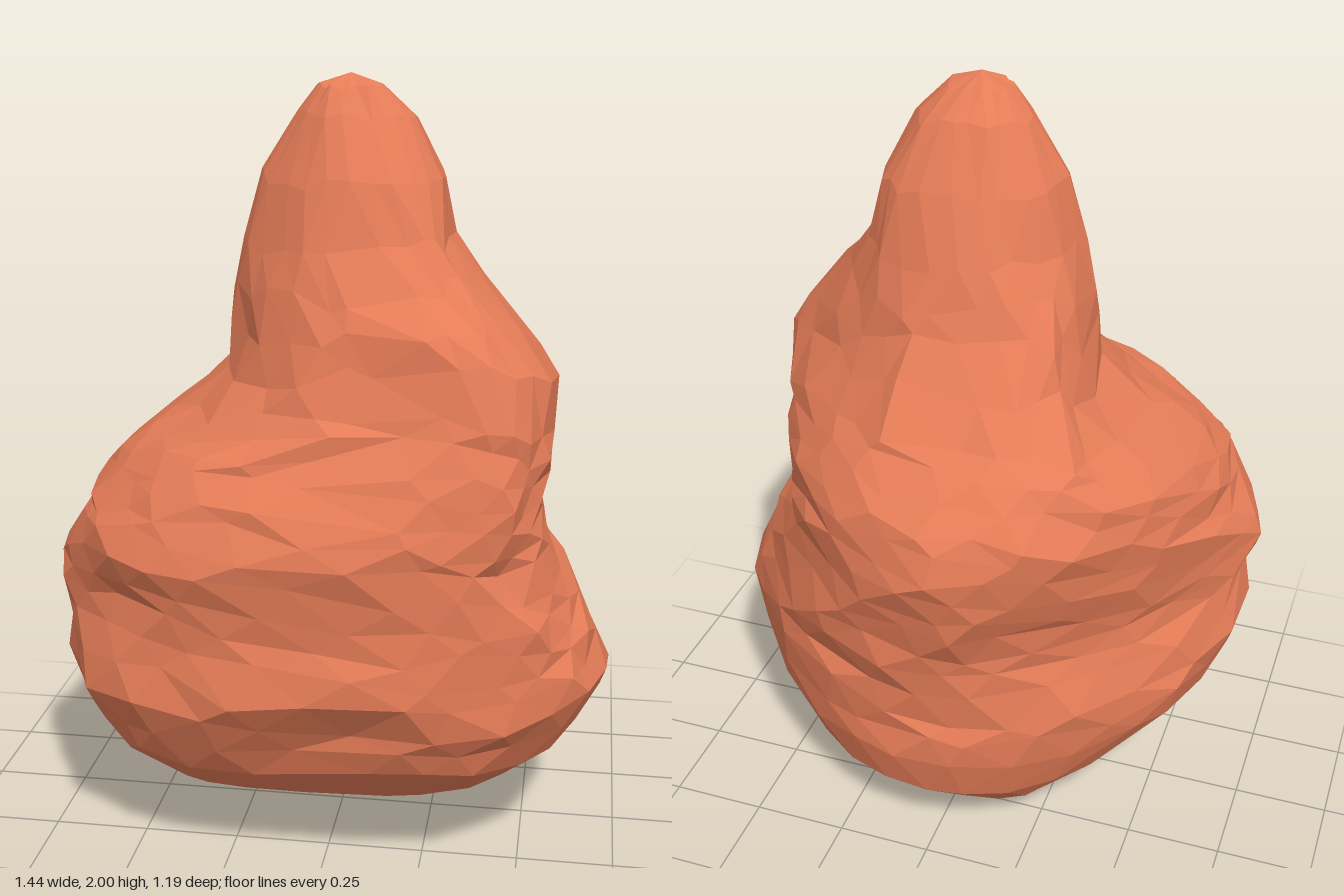
import * as THREE from 'three';

// Each row: y, then right edge, left edge, front edge, back edge, z of the widest point
const SECTIONS = [
  [0.01, -0.03, 0.03, 0.0, -0.1, -0.05],
  [0.05, -0.19, 0.16, 0.06, -0.27, -0.07],
  [0.11, -0.3, 0.32, 0.17, -0.38, -0.03],
  [0.2, -0.46, 0.5, 0.35, -0.48, 0.02],
  [0.33, -0.62, 0.61, 0.49, -0.51, 0.08],
  [0.5, -0.7, 0.72, 0.59, -0.5, 0.14],
  [0.65, -0.68, 0.67, 0.57, -0.53, 0.18],
  [0.77, -0.72, 0.59, 0.56, -0.55, 0.19],
  [0.9, -0.65, 0.54, 0.58, -0.585, 0.15],
  [1.0, -0.6, 0.53, 0.55, -0.585, 0.09],
  [1.1, -0.52, 0.545, 0.51, -0.54, 0.04],
  [1.2, -0.34, 0.55, 0.49, -0.43, 0.04],
  [1.31, -0.28, 0.55, 0.44, -0.33, 0.05],
  [1.4, -0.27, 0.46, 0.42, -0.28, 0.07],
  [1.5, -0.25, 0.37, 0.33, -0.23, 0.06],
  [1.6, -0.235, 0.29, 0.27, -0.205, 0.05],
  [1.75, -0.2, 0.265, 0.24, -0.145, 0.05],
  [1.9, -0.11, 0.185, 0.16, -0.08, 0.05],
  [1.97, -0.05, 0.11, 0.11, 0.0, 0.06],
];

// Reach along the diagonals for the same rows: front left, front right, back left, back right
const DIAGONALS = [
  [0.005, 0.005, 0.075, 0.075],
  [0.11, 0.13, 0.27, 0.28],
  [0.27, 0.3, 0.4, 0.39],
  [0.44, 0.48, 0.49, 0.46],
  [0.6, 0.63, 0.55, 0.51],
  [0.69, 0.7, 0.575, 0.53],
  [0.68, 0.68, 0.56, 0.48],
  [0.66, 0.68, 0.55, 0.5],
  [0.645, 0.69, 0.52, 0.53],
  [0.65, 0.64, 0.52, 0.55],
  [0.665, 0.54, 0.5, 0.53],
  [0.66, 0.36, 0.43, 0.46],
  [0.62, 0.31, 0.36, 0.36],
  [0.56, 0.28, 0.32, 0.31],
  [0.45, 0.26, 0.285, 0.25],
  [0.35, 0.24, 0.26, 0.2],
  [0.28, 0.2, 0.22, 0.15],
  [0.19, 0.135, 0.135, 0.077],
  [0.13, 0.086, 0.05, 0.007],
];

// Hollows: angle (0 = left, 90 = front), y, angular spread, height spread, depth
const DENTS = [
  [85, 0.43, 14, 0.09, -0.05],
  [95, 1.25, 14, 0.13, -0.05],
  [45, 0.86, 20, 0.06, -0.03],
  [140, 0.73, 15, 0.05, -0.03],
];

function seeded(seed) {
  return () => {
    seed = (seed * 16807) % 2147483647;
    return (seed / 2147483647) * 2 - 1;
  };
}

function sectionAt(y) {
  let i = 0;
  while (i < SECTIONS.length - 2 && SECTIONS[i + 1][0] < y) i++;
  const t = THREE.MathUtils.clamp((y - SECTIONS[i][0]) / (SECTIONS[i + 1][0] - SECTIONS[i][0]), 0, 1);
  const blend = (rows) => rows[i].map((v, k) => THREE.MathUtils.lerp(v, rows[i + 1][k], t));
  return { edges: blend(SECTIONS), diagonals: blend(DIAGONALS) };
}

// Point on the surface at a given height and angle
function surfacePoint(y, angle) {
  const { edges, diagonals } = sectionAt(y);
  const [, right, left, front, back, zMid] = edges;
  const c = Math.cos(angle), s = Math.sin(angle);
  const sx = c < 0 ? -1 : 1, sz = s < 0 ? -1 : 1;
  const cx = (right + left) / 2, hx = (left - right) / 2;
  const hz = sz > 0 ? front - zMid : zMid - back;
  // Each quarter is a superellipse that passes through its diagonal reach
  const reach = diagonals[(sz < 0 ? 2 : 0) + (sx < 0 ? 1 : 0)] * Math.SQRT2;
  const fill = THREE.MathUtils.clamp((reach - sx * cx - sz * zMid) / (hx + hz), 0.48, 0.86);
  const power = Math.log(fill) / Math.log(Math.SQRT1_2);
  let push = 0;
  for (const [deg, dy, da, dh, depth] of DENTS) {
    const turn = THREE.MathUtils.euclideanModulo((angle * 180) / Math.PI - deg + 180, 360) - 180;
    push += depth * Math.exp(-((turn / da) ** 2) - ((y - dy) / dh) ** 2);
  }
  return new THREE.Vector3(
    cx + hx * sx * Math.abs(c) ** power + c * push,
    y,
    zMid + hz * sz * Math.abs(s) ** power + s * push
  );
}

function buildRock() {
  const rand = seeded(4127);
  const sides = 24;
  const points = [0, 0, -0.05];
  const index = [];
  // Rings follow the section heights, with extra strata through the rugged middle
  const heights = [];
  SECTIONS.forEach(([y], i) => {
    if (i === 0) return;
    if (y > 0.4 && y < 1.25) heights.push((y + SECTIONS[i - 1][0]) / 2);
    heights.push(y);
  });
  heights.forEach((y, r) => {
    const rugged = THREE.MathUtils.smoothstep(y, 0.2, 0.6) * (1 - THREE.MathUtils.smoothstep(y, 1.3, 1.8));
    const amount = 0.004 + 0.011 * rugged;
    const gap = r ? y - heights[r - 1] : 0.04;
    for (let i = 0; i < sides; i++) {
      const angle = ((i + (r % 2) * 0.5 + rand() * 0.2) / sides) * Math.PI * 2;
      // Rings undulate so the strata are not level
      const wave = 0.04 * rugged * Math.sin(2 * angle + y * 4);
      const p = surfacePoint(y + wave + rand() * gap * (0.1 + 0.25 * rugged), angle);
      const bump = rand() * amount;
      points.push(p.x + Math.cos(angle) * bump, p.y, p.z + Math.sin(angle) * bump);
    }
  });
  points.push(0.03, 2, 0.06);
  const at = (r, i) => 1 + r * sides + (i % sides);
  const last = heights.length - 1;
  const tip = points.length / 3 - 1;
  for (let i = 0; i < sides; i++) {
    index.push(0, at(0, i), at(0, i + 1));
    index.push(tip, at(last, i + 1), at(last, i));
    for (let r = 0; r < last; r++) {
      const a = at(r, i), b = at(r, i + 1), c = at(r + 1, i), d = at(r + 1, i + 1);
      // Alternate the diagonals to match the half-step stagger
      if (r % 2) index.push(a, c, d, a, d, b);
      else index.push(a, c, b, b, c, d);
    }
  }
  const geometry = new THREE.BufferGeometry();
  geometry.setAttribute('position', new THREE.Float32BufferAttribute(points, 3));
  geometry.setIndex(index);
  const faceted = geometry.toNonIndexed();
  faceted.computeVertexNormals();
  return faceted;
}

export function createModel() {
  const group = new THREE.Group();
  group.name = 'rockSpire';
  const material = new THREE.MeshStandardMaterial({ color: 0xe57c57, flatShading: true });
  const rock = new THREE.Mesh(buildRock(), material);
  rock.name = 'rock';
  group.add(rock);
  return group;
}
